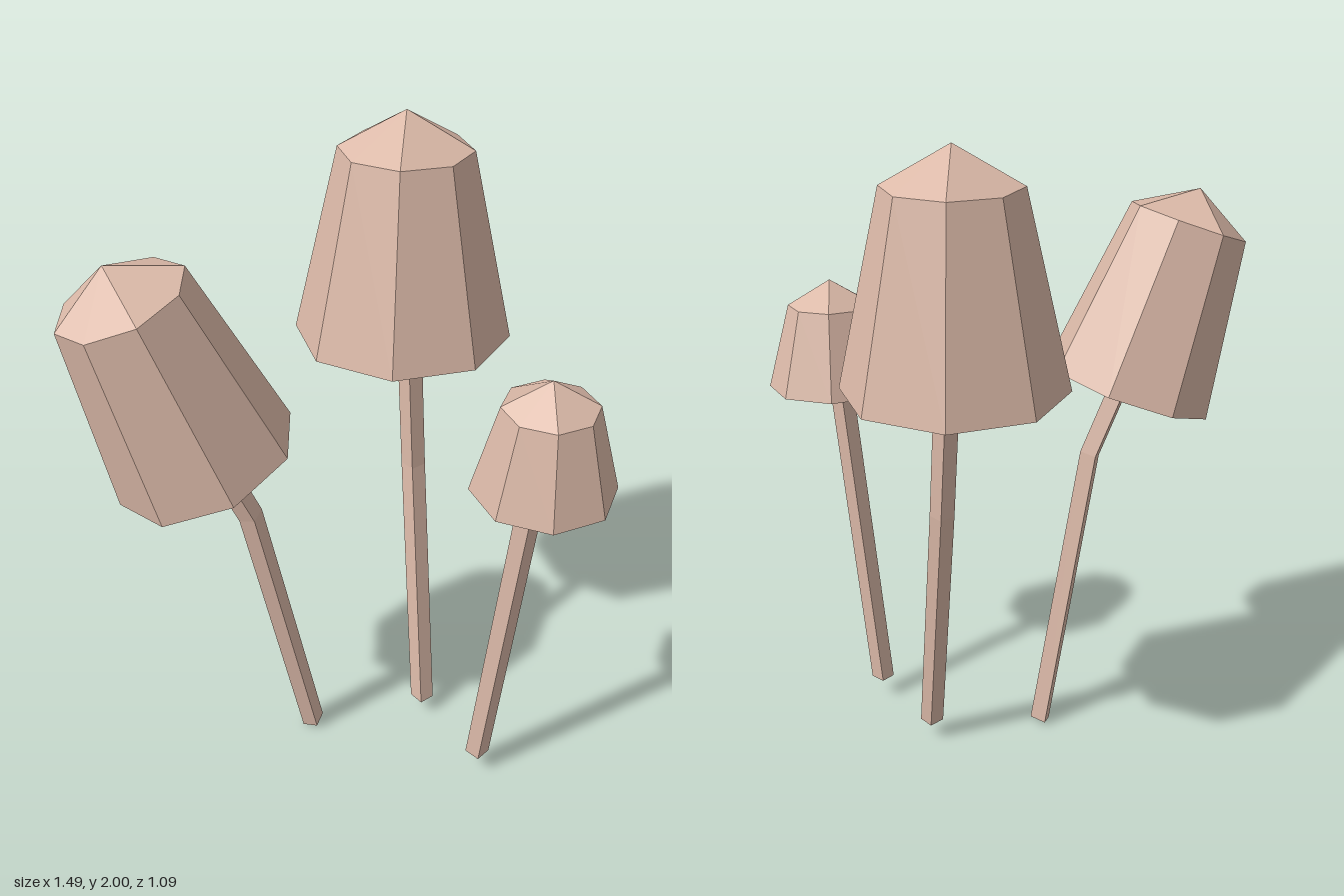
import * as THREE from 'three';

const V = (x, y, z) => new THREE.Vector3(x, y, z);

// Builds a geometry from flat polygons; every polygon gets one normal.
function facetGeometry(faces) {
  const pos = [], nor = [];
  for (const f of faces) {
    const last = f[f.length - 1];
    const n = f.length === 4
      ? f[2].clone().sub(f[0]).cross(f[3].clone().sub(f[1]))
      : f[1].clone().sub(f[0]).cross(last.clone().sub(f[0]));
    n.normalize();
    for (let i = 1; i < f.length - 1; i++) {
      for (const p of [f[0], f[i], f[i + 1]]) {
        pos.push(p.x, p.y, p.z);
        nor.push(n.x, n.y, n.z);
      }
    }
  }
  const g = new THREE.BufferGeometry();
  g.setAttribute('position', new THREE.Float32BufferAttribute(pos, 3));
  g.setAttribute('normal', new THREE.Float32BufferAttribute(nor, 3));
  return g;
}

// A regular polygon around a centre, in the plane of axes u and w.
function polygon(center, u, w, radius, sides) {
  return Array.from({ length: sides }, (_, i) => {
    const a = (i / sides) * Math.PI * 2;
    return center.clone()
      .addScaledVector(u, Math.cos(a) * radius)
      .addScaledVector(w, Math.sin(a) * radius);
  });
}

// Side quads between two rings of equal length.
function band(lower, upper) {
  return lower.map((p, i) => {
    const j = (i + 1) % lower.length;
    return [p, upper[i], upper[j], lower[j]];
  });
}

// Hollow eight-sided bell with a low peak made of four kite-shaped faces.
function capGeometry(m, up, u, w) {
  const shoulder = m.rim.clone().addScaledVector(up, m.height);
  const apex = shoulder.clone().addScaledVector(up, m.peak);
  const low = polygon(m.rim, u, w, m.rimRadius, 8);
  const high = polygon(shoulder, u, w, m.topRadius, 8);
  const faces = band(low, high);
  for (let i = 0; i < 8; i += 2) {
    faces.push([apex, high[(i + 2) % 8], high[i + 1], high[i]]);
  }
  return facetGeometry(faces);
}

// Four-sided stem through the path points, closed at both ends.
function stemGeometry(m, u, w) {
  const rings = m.path.map((p) => polygon(p, u, w, 0.037, 4));
  const faces = [rings[0], [...rings[rings.length - 1]].reverse()];
  for (let i = 0; i < rings.length - 1; i++) faces.push(...band(rings[i], rings[i + 1]));
  return facetGeometry(faces);
}

const mushrooms = [
  {
    name: 'tallMushroom', up: V(0, 1, -0.02), side: V(1, 0, 0),
    rim: V(0.105, 1.327, -0.223), height: 0.565, peak: 0.11, rimRadius: 0.325, topRadius: 0.195,
    path: [V(0.217, 0.065, 0.02), V(0.155, 0.9, -0.147), V(0.13, 1.33, -0.19), V(0.108, 1.85, -0.23)],
  },
  {
    name: 'leaningMushroom', up: V(-0.312, 0.94, 0.134), side: V(0.221, 0.092, -0.121),
    rim: V(-0.401, 1.157, 0.283), height: 0.552, peak: 0.105, rimRadius: 0.27, topRadius: 0.187,
    path: [V(-0.143, 0.015, 0.122), V(-0.29, 0.945, 0.25), V(-0.368, 1.14, 0.28), V(-0.56, 1.65, 0.353)],
  },
  {
    name: 'smallMushroom', up: V(0, 1, 0.037), side: V(0.2, 0, -0.025),
    rim: V(0.539, 1.146, 0.309), height: 0.265, peak: 0.079, rimRadius: 0.205, topRadius: 0.133,
    path: [V(0.412, 0.075, 0.263), V(0.515, 1.14, 0.306), V(0.537, 1.39, 0.318)],
  },
];

export function createModel() {
  const model = new THREE.Group();
  model.name = 'mushroomCluster';
  const flesh = new THREE.MeshStandardMaterial({ color: 0xdbb9a8, side: THREE.DoubleSide });
  flesh.name = 'paleMushroomFlesh';

  for (const m of mushrooms) {
    // Shared axes of cap and stem
    const up = m.up.clone().normalize();
    const w = m.side.clone().cross(up).normalize();
    const u = up.clone().cross(w);

    const cap = new THREE.Mesh(capGeometry(m, up, u, w), flesh);
    cap.name = 'cap';
    const stem = new THREE.Mesh(stemGeometry(m, u, w), flesh);
    stem.name = 'stem';

    const group = new THREE.Group();
    group.name = m.name;
    group.add(cap, stem);
    model.add(group);
  }
  return model;
}
